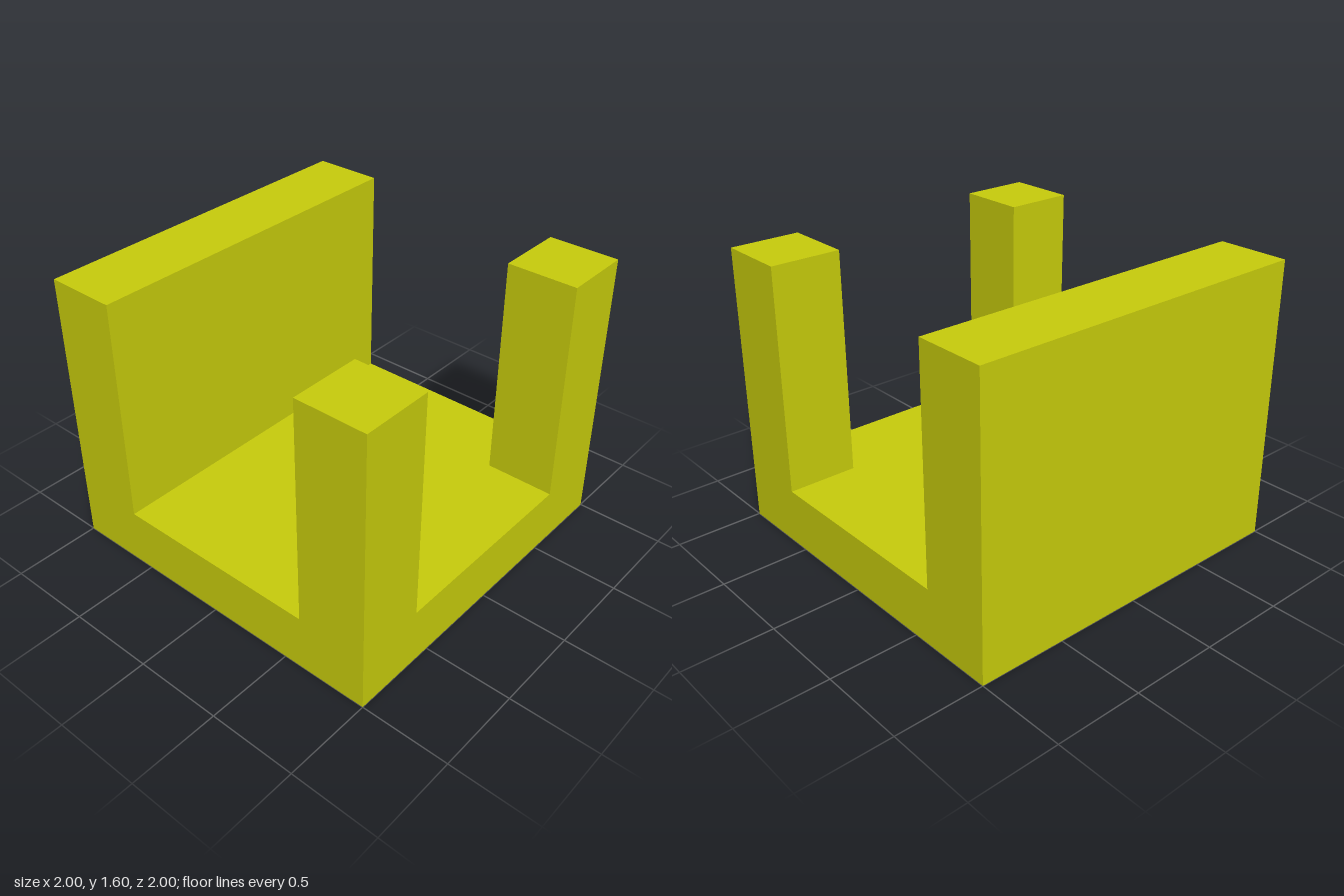
import * as THREE from 'three';

const BASE = 0.32;   // floor thickness
const TOP = 1.6;     // overall height
const T = 0.4;       // wall and post thickness

export function createModel() {
  const group = new THREE.Group();
  group.name = 'openBlock';
  const material = new THREE.MeshStandardMaterial({ color: 0xc8cc0c, flatShading: true });

  // Box standing on height y0
  function block(name, w, h, d, x, y0, z) {
    const mesh = new THREE.Mesh(new THREE.BoxGeometry(w, h, d), material);
    mesh.name = name;
    mesh.position.set(x, y0 + h / 2, z);
    group.add(mesh);
  }

  const rise = TOP - BASE;
  const edge = 1 - T / 2;

  // Square floor slab
  block('floor', 2, BASE, 2, 0, 0, 0);

  // Full-length wall on the right side
  block('sideWall', T, rise, 2, -edge, BASE, 0);

  // Corner posts on the open left side
  for (const [name, side] of [['frontPost', 1], ['backPost', -1]]) {
    block(name, T, rise, T, edge, BASE, side * edge);
  }

  return group;
}
